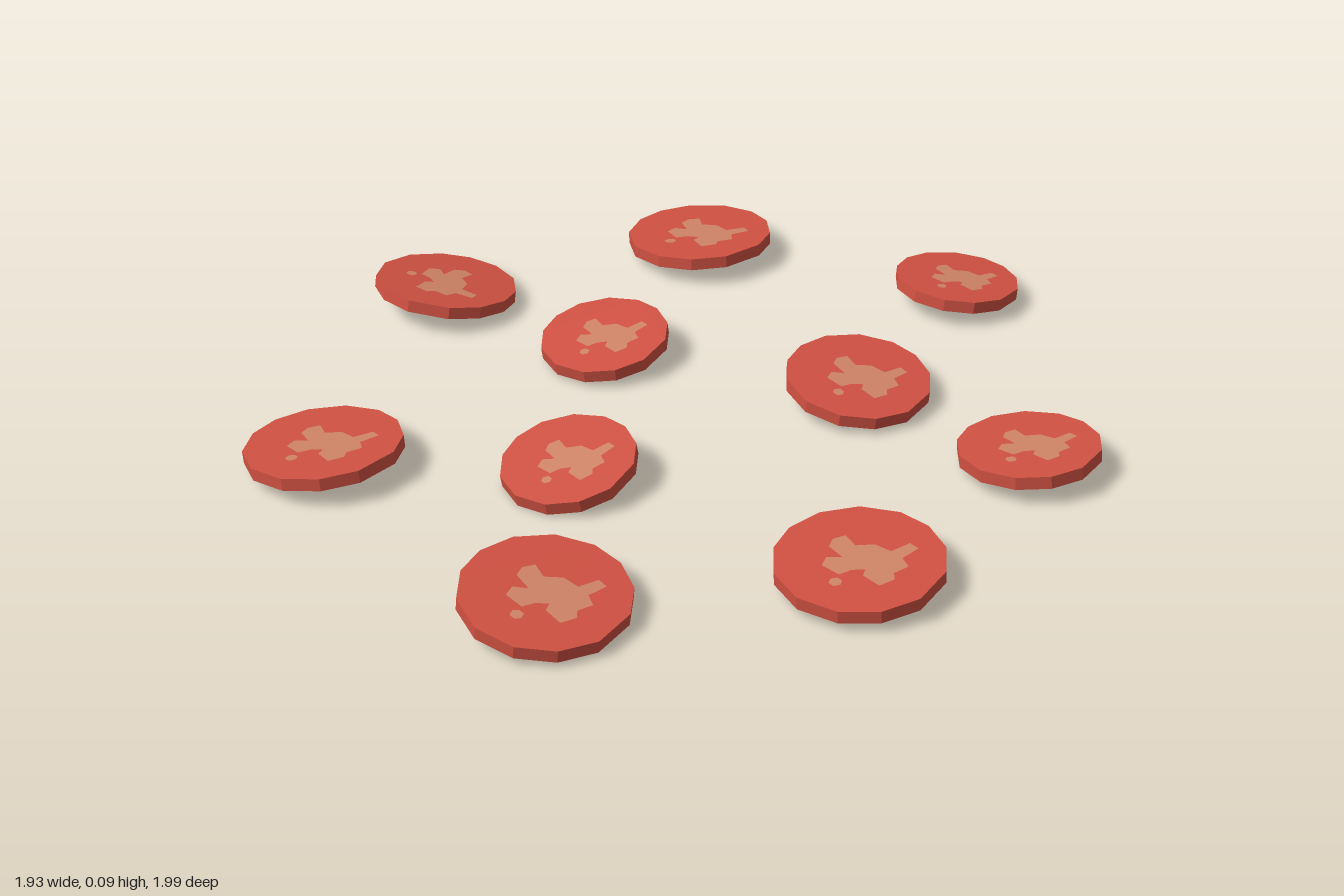
import * as THREE from 'three';

const THICK = 0.03;

// x, z, radius, lean of the top face toward +x and +z, clockwise spin
const SLICES = [
  [0.04, -0.845, 0.156, 0.0, -0.11, 0],
  [-0.575, -0.515, 0.186, -0.09, -0.02, 0.3],
  [0.705, -0.395, 0.165, -0.11, 0.0, 0],
  [0.23, -0.315, 0.174, 0.11, 0.0, 0],
  [-0.315, 0.015, 0.157, 0.0, 0.15, 0],
  [-0.79, 0.147, 0.178, 0.0, -0.17, 1.15],
  [0.78, 0.21, 0.187, 0.0, 0.06, 0],
  [0.07, 0.43, 0.157, 0.0, 0.2, 0],
  [-0.345, 0.81, 0.183, -0.11, 0.0, 0.1],
  [0.44, 0.785, 0.186, 0.12, 0.0, 0],
];

// Uneven rim corners, in degrees, on a unit circle
const RIM = [-84, -58, -32, 2, 30, 58, 88, 118, 146, 170, 196, 224, 252]
  .map((d) => [Math.cos(d * Math.PI / 180), Math.sin(d * Math.PI / 180)]);

// Pale patch outline (x, z) on the unit slice
const PATCH = [
  [-0.47, -0.03], [-0.42, -0.18], [-0.2, -0.13], [-0.06, -0.3], [0.16, -0.34],
  [0.2, -0.6], [0.34, -0.6], [0.34, -0.34], [0.5, -0.28], [0.47, -0.08], [0.56, 0.0],
  [0.52, 0.2], [0.26, 0.2], [0.2, 0.1], [0.1, 0.22], [0.06, 0.38], [-0.2, 0.4],
  [-0.27, 0.26], [-0.14, 0.13], [-0.4, 0.1],
];
const SPOT = Array.from({ length: 6 }, (_, i) => {
  const a = i * Math.PI / 3;
  return [0.13 + 0.08 * Math.cos(a), 0.5 + 0.08 * Math.sin(a)];
});

// Shape from (x, z) points scaled by r; sign picks which way z maps to shape y
const outline = (points, r, sign) =>
  new THREE.Shape(points.map(([x, z]) => new THREE.Vector2(x * r, sign * z * r)));

export function createModel() {
  const red = new THREE.MeshStandardMaterial({ color: 0xd05142 });
  red.name = 'red';
  const pale = new THREE.MeshStandardMaterial({ color: 0xcf8466 });
  pale.name = 'paleFat';

  const model = new THREE.Group();
  model.name = 'slices';
  const up = new THREE.Vector3(0, 1, 0);

  const add = (parent, name, geometry, material) => {
    const mesh = new THREE.Mesh(geometry, material);
    mesh.name = name;
    parent.add(mesh);
  };

  for (const [x, z, r, leanX, leanZ, spin] of SLICES) {
    const slice = new THREE.Group();
    slice.name = 'slice';

    // Faceted disc
    const disc = new THREE.ExtrudeGeometry(outline(RIM, r, -1), { depth: THICK, bevelEnabled: false });
    disc.translate(0, 0, -THICK / 2).rotateX(-Math.PI / 2);
    add(slice, 'disc', disc, red);

    // Pale marks on the top and the underside
    for (const side of [1, -1]) {
      const shapes = [PATCH, SPOT].map((p) => outline(p, r, -side));
      const marks = new THREE.ShapeGeometry(shapes);
      marks.rotateX(-side * Math.PI / 2).translate(0, side * (THICK / 2 + 0.0015), 0);
      add(slice, side > 0 ? 'topMarks' : 'bottomMarks', marks, pale);
    }

    // Tilt and spin
    const normal = new THREE.Vector3(leanX, 1, leanZ).normalize();
    slice.quaternion.setFromUnitVectors(up, normal)
      .multiply(new THREE.Quaternion().setFromAxisAngle(up, -spin));
    slice.position.set(x, 0.048, z);
    model.add(slice);
  }
  return model;
}
